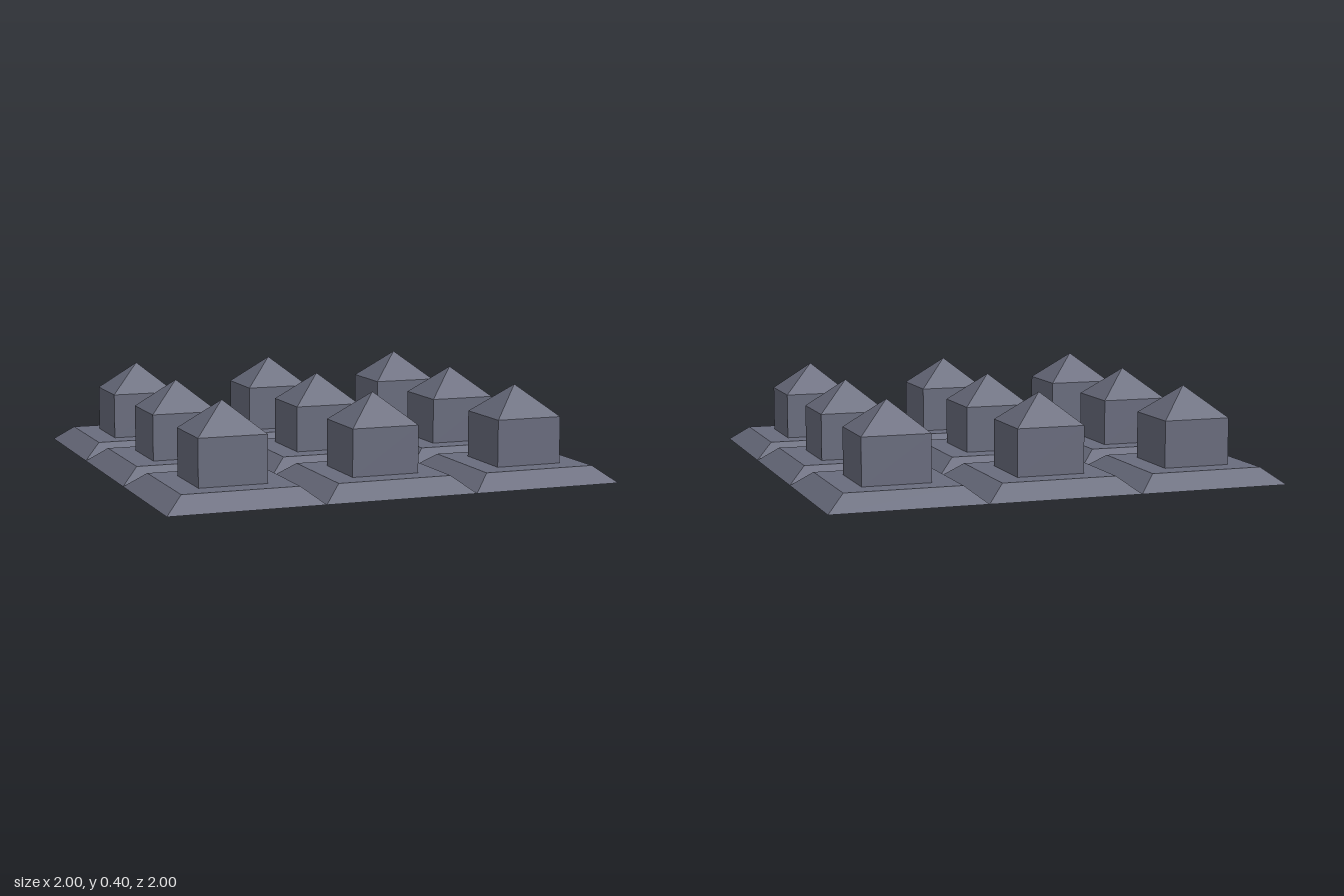
import * as THREE from 'three';

const material = new THREE.MeshStandardMaterial({ color: 0x696c7d, flatShading: true });

// Square frustum with its sides along x and z, standing on y = y0
function frustum(name, halfBottom, halfTop, y0, y1, open = false) {
  const geometry = new THREE.CylinderGeometry(
    halfTop * Math.SQRT2, halfBottom * Math.SQRT2, y1 - y0, 4, 1, open);
  geometry.rotateY(Math.PI / 4);
  geometry.translate(0, (y0 + y1) / 2, 0);
  const mesh = new THREE.Mesh(geometry, material);
  mesh.name = name;
  return mesh;
}

// One tile: bevelled base, square block and pyramid cap
function createStud() {
  const stud = new THREE.Group();
  stud.add(
    frustum('bevelledBase', 1 / 3, 0.25, 0, 0.067),
    frustum('block', 0.148, 0.148, 0.067, 0.27, true),
    frustum('pyramidCap', 0.148, 0, 0.27, 0.4, true)
  );
  return stud;
}

export function createModel() {
  const model = new THREE.Group();
  model.name = 'studdedPanel';
  const pitch = 2 / 3;
  const stud = createStud();

  // Three by three grid of tiles
  for (let row = -1; row <= 1; row++) {
    for (let column = -1; column <= 1; column++) {
      const tile = stud.clone();
      tile.name = `studTile_${row + 2}_${column + 2}`;
      tile.position.set(column * pitch, 0, row * pitch);
      model.add(tile);
    }
  }
  return model;
}
